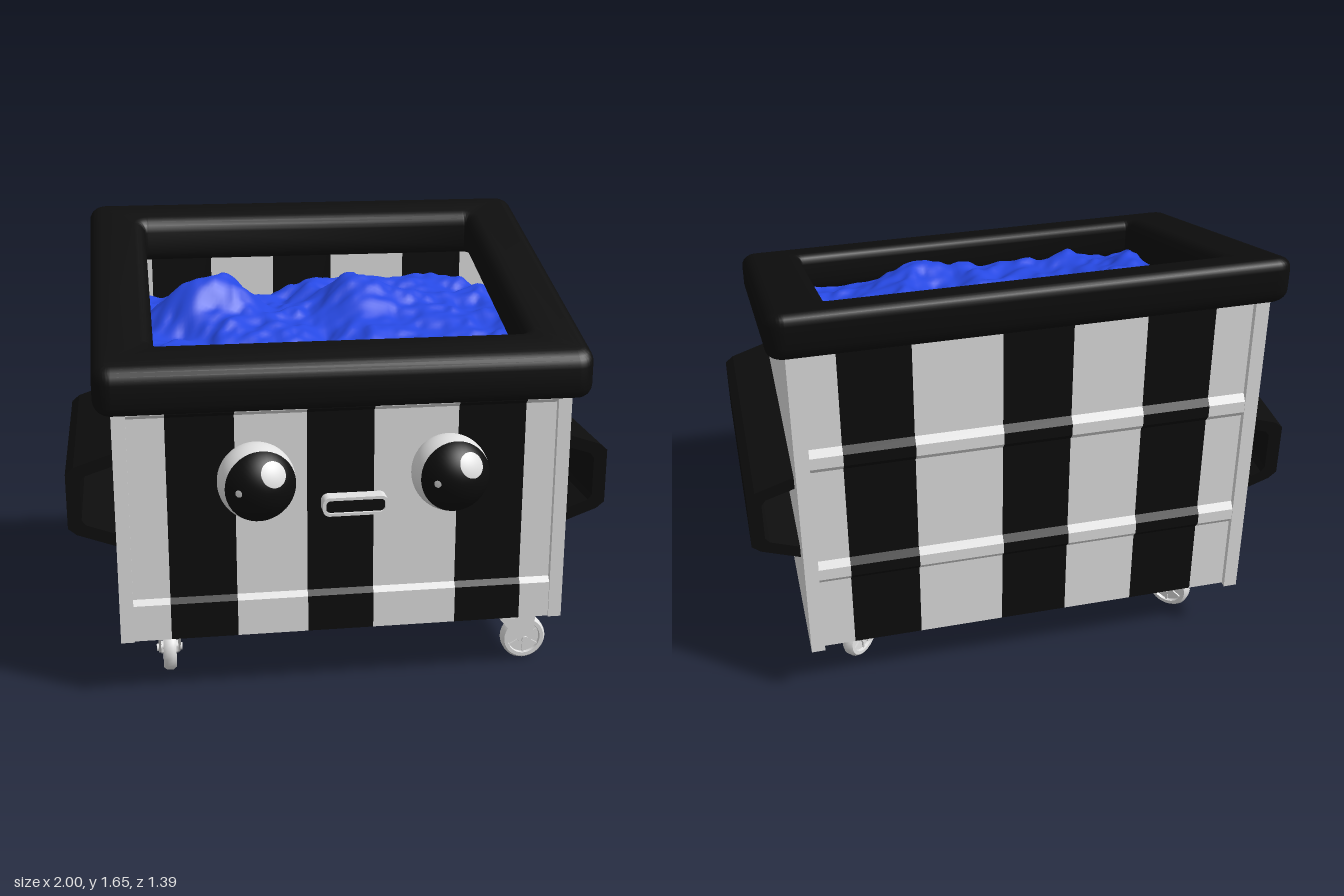
import * as THREE from 'three';
import { toCreasedNormals } from 'three/addons/utils/BufferGeometryUtils.js';

const material = (name, color) => {
  const m = new THREE.MeshStandardMaterial({ color });
  m.name = name;
  return m;
};
const SLOPE = 0.313; // how fast the open top rises towards the back

function add(parent, name, geometry, mat, x = 0, y = 0, z = 0) {
  const mesh = new THREE.Mesh(geometry, mat);
  mesh.name = name;
  mesh.position.set(x, y, z);
  parent.add(mesh);
  return mesh;
}

// Solid with a [z, y] outline running from x0 to x1
function slab(outline, x0, x1) {
  const shape = new THREE.Shape(outline.map(([z, y]) => new THREE.Vector2(-z, y)));
  const g = new THREE.ExtrudeGeometry(shape, { depth: x1 - x0, bevelEnabled: false });
  return g.rotateY(Math.PI / 2).translate(x0, 0, 0);
}

// Rounded rectangle drawn on a Shape or Path
function roundRect(path, x0, y0, x1, y1, r) {
  path.moveTo(x0 + r, y0);
  path.absarc(x1 - r, y0 + r, r, -Math.PI / 2, 0);
  path.absarc(x1 - r, y1 - r, r, 0, Math.PI / 2);
  path.absarc(x0 + r, y1 - r, r, Math.PI / 2, Math.PI);
  path.absarc(x0 + r, y0 + r, r, Math.PI, Math.PI * 1.5);
  return path;
}

// Smooth seeded value noise, about -1 to 1
function noise(x, y) {
  const hash = (i, j) => {
    const s = Math.sin(i * 127.1 + j * 311.7 + 5.3) * 43758.5453;
    return (s - Math.floor(s)) * 2 - 1;
  };
  const i = Math.floor(x), j = Math.floor(y);
  const fx = x - i, fy = y - j;
  const u = fx * fx * (3 - 2 * fx), v = fy * fy * (3 - 2 * fy);
  const a = hash(i, j) * (1 - u) + hash(i + 1, j) * u;
  const b = hash(i, j + 1) * (1 - u) + hash(i + 1, j + 1) * u;
  return a * (1 - v) + b * v;
}

function trashHeight(x, z) {
  const hill = (cx, cz, r, h) => h * Math.exp(-((x - cx) ** 2 + (z - cz) ** 2) / (r * r));
  return 1.245 - 0.1 * z
    + hill(-0.36, -0.22, 0.15, 0.12) + hill(-0.52, -0.2, 0.14, 0.1)
    + hill(0.13, -0.3, 0.16, 0.09) + hill(0.42, -0.25, 0.16, 0.05)
    + 0.035 * noise(x * 5, z * 5) + 0.022 * noise(x * 11 + z * 4, z * 11)
    + 0.01 * noise(x * 24, z * 24 + x * 8);
}

function buildCaster(white, x, z, yaw) {
  const caster = new THREE.Group();
  caster.name = 'caster';
  caster.position.set(x, 0, z);
  caster.rotation.y = yaw;
  const trail = 0.06, hubY = 0.088;
  add(caster, 'casterPlate', new THREE.BoxGeometry(0.12, 0.012, 0.17), white, 0, 0.217, 0.01);
  add(caster, 'casterSwivel', new THREE.CylinderGeometry(0.04, 0.048, 0.03, 20), white, 0, 0.198, 0);
  const fork = [[-0.06, 0.2], [0.1, 0.2], [trail + 0.022, hubY - 0.015], [trail - 0.015, hubY - 0.015]];
  for (const s of [-1, 1]) add(caster, 'casterFork', slab(fork, s * 0.037 - 0.004, s * 0.037 + 0.004), white);
  add(caster, 'forkBridge', new THREE.BoxGeometry(0.08, 0.01, 0.14), white, 0, 0.195, 0.02);
  // Wheel with a rounded tyre, recessed web and hub
  const profile = [[0.012, -0.032], [0.025, -0.032], [0.025, -0.012], [0.062, -0.012], [0.064, -0.024],
    [0.078, -0.024], [0.087, -0.012], [0.087, 0.012], [0.078, 0.024], [0.064, 0.024], [0.062, 0.012],
    [0.025, 0.012], [0.025, 0.032], [0.012, 0.032]].map(p => new THREE.Vector2(...p));
  const wheel = toCreasedNormals(new THREE.LatheGeometry(profile, 32), 0.8).rotateZ(Math.PI / 2);
  add(caster, 'wheel', wheel, white, 0, hubY, trail);
  add(caster, 'axle', new THREE.CylinderGeometry(0.014, 0.014, 0.098, 12).rotateZ(Math.PI / 2), white, 0, hubY, trail);
  for (let i = 0; i < 3; i++) {
    const spoke = add(caster, 'wheelSpoke', new THREE.BoxGeometry(0.036, 0.126, 0.008), white, 0, hubY, trail);
    spoke.rotation.x = i * Math.PI / 3;
  }
  return caster;
}

function buildEye(white, black, x, gaze) {
  const eye = new THREE.Group();
  eye.name = 'eye';
  eye.position.set(x, 0.84, 0.55);
  add(eye, 'eyeball', new THREE.SphereGeometry(0.14, 40, 28), white);
  // Spherical cap facing a direction
  const cap = (name, r, angle, dir, mat) => {
    const m = add(eye, name, new THREE.SphereGeometry(r, 40, 14, 0, Math.PI * 2, 0, angle), mat);
    m.quaternion.setFromUnitVectors(new THREE.Vector3(0, 1, 0), new THREE.Vector3(...dir).normalize());
  };
  cap('pupil', 0.1425, 1.13, gaze, black);
  cap('largeGlint', 0.147, 0.33, [0.05, 0.062, 0.118], white);
  cap('smallGlint', 0.146, 0.09, [-0.07, 0, 0.12], white);
  return eye;
}

export function createModel() {
  const model = new THREE.Group();
  model.name = 'dumpster';
  const white = material('white', 0xe2e2e2);
  const black = material('black', 0x0d0d0d);
  const blue = material('blue', 0x2648e2);
  const top = z => 1.33 - SLOPE * z;

  // Front, floor and back in one pressed section, cut into vertical stripes
  const section = [
    [0.495, 0.222], [0.495, 0.36], [0.478, 0.38], [0.478, 1.065], [0.495, 1.08], [0.495, top(0.495)],
    [0.45, top(0.45)], [0.45, 0.26], [-0.6, 0.26], [-0.6, top(-0.6)], [-0.628, top(-0.628)],
    [-0.628, 1.1], [-0.648, 1.075], [-0.648, 1.03], [-0.628, 1.005],
    [-0.628, 0.62], [-0.648, 0.595], [-0.648, 0.55], [-0.628, 0.525], [-0.628, 0.222],
  ];
  const cuts = [-0.78, -0.645, -0.4, -0.14, 0.105, 0.415, 0.665, 0.78];
  for (let i = 0; i < cuts.length - 1; i++) {
    const dark = i % 2 === 1;
    add(model, dark ? 'blackStripe' : 'whiteStripe', slab(section, cuts[i], cuts[i + 1]), dark ? black : white);
  }

  // Side walls and the lifting channels on them
  const wall = [[0.5, 0.22], [0.5, top(0.5)], [-0.65, top(-0.65)], [-0.65, 0.22]];
  const channel = [[0.82, 0.93], [0.97, 0.88], [1, 0.855], [1, 0.65], [0.97, 0.625], [0.82, 0.57],
    [0.82, 0.618], [0.935, 0.66], [0.95, 0.68], [0.95, 0.825], [0.935, 0.845], [0.82, 0.882]];
  for (const s of [-1, 1]) {
    add(model, 'sideWall', slab(wall, s * 0.805 - 0.025, s * 0.805 + 0.025), white);
    const shape = new THREE.Shape(channel.map(([x, y]) => new THREE.Vector2(s * x, y)));
    const g = new THREE.ExtrudeGeometry(shape, { depth: 0.96, bevelEnabled: false });
    add(model, 'liftingChannel', g, black, 0, 0, -0.53);
  }

  // Thick rounded rim, sheared to follow the sloping top
  const frame = roundRect(new THREE.Shape(), -0.89, -0.585, 0.89, 0.695, 0.065);
  frame.holes.push(roundRect(new THREE.Path(), -0.67, -0.39, 0.67, 0.51, 0.015));
  const bevel = 0.045;
  const rim = new THREE.ExtrudeGeometry(frame, {
    depth: 0.17 - 2 * bevel, bevelThickness: bevel, bevelSize: bevel, bevelOffset: -bevel,
    bevelSegments: 5, curveSegments: 8,
  }).rotateX(-Math.PI / 2).translate(0, 1.272 + bevel, 0);
  const rp = rim.attributes.position;
  for (let i = 0; i < rp.count; i++) rp.setY(i, rp.getY(i) - SLOPE * rp.getZ(i));
  add(model, 'rim', toCreasedNormals(rim, 0.7), black);

  // Lumpy heap inside
  const heap = new THREE.PlaneGeometry(1.56, 1.06, 110, 76).rotateX(-Math.PI / 2).translate(0, 0, -0.075);
  const hp = heap.attributes.position;
  for (let i = 0; i < hp.count; i++) hp.setY(i, trashHeight(hp.getX(i), hp.getZ(i)));
  heap.computeVertexNormals();
  add(model, 'trashHeap', heap, blue);

  // Face
  model.add(buildEye(white, black, -0.33, [0.15, 0, 1]));
  model.add(buildEye(white, black, 0.37, [0.1, 0.05, 1]));
  const lips = roundRect(new THREE.Shape(), -0.12, -0.035, 0.12, 0.035, 0.025);
  lips.holes.push(roundRect(new THREE.Path(), -0.108, -0.024, 0.108, 0.024, 0.018));
  add(model, 'lips', new THREE.ExtrudeGeometry(lips, { depth: 0.06, bevelEnabled: false }), white, 0.03, 0.72, 0.475);
  const mouth = roundRect(new THREE.Shape(), -0.11, -0.026, 0.11, 0.026, 0.018);
  add(model, 'mouth', new THREE.ExtrudeGeometry(mouth, { depth: 0.05, bevelEnabled: false }), black, 0.03, 0.72, 0.475);

  // Swivelled casters
  model.add(buildCaster(white, 0.66, 0.375, Math.PI / 2));
  model.add(buildCaster(white, -0.65, 0.34, Math.PI));
  model.add(buildCaster(white, 0.67, -0.485, -Math.PI / 4));
  model.add(buildCaster(white, -0.68, -0.485, Math.PI / 4));
  return model;
}
